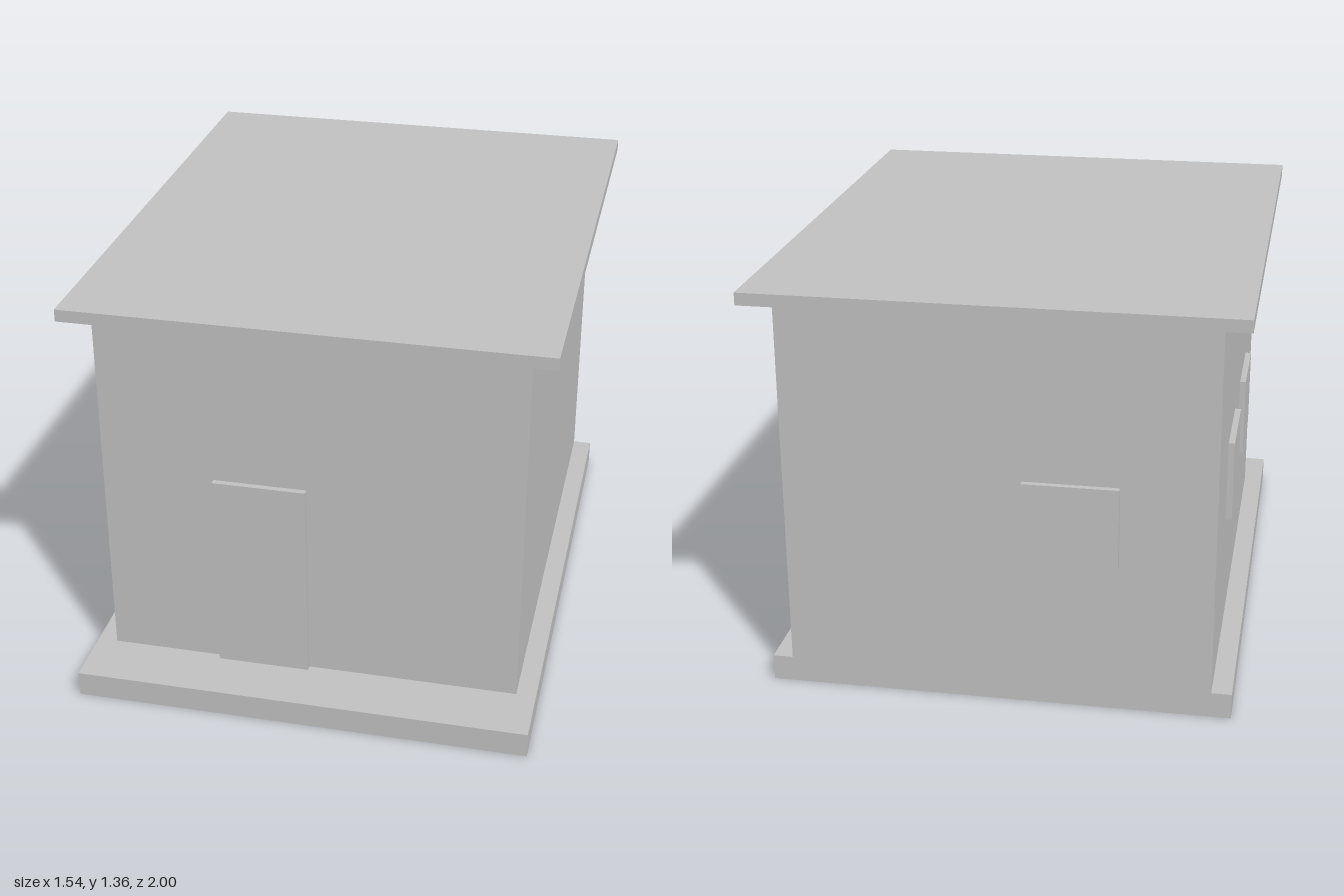
import * as THREE from 'three';

export function createModel() {
  const model = new THREE.Group();
  model.name = 'smallHouse';
  const lightGrey = new THREE.MeshStandardMaterial({ color: 0xc0c0c0 });
  lightGrey.name = 'lightGrey';

  // Adds a box spanning the given [min, max] range on each axis
  function addBox(name, [x0, x1], [y0, y1], [z0, z1]) {
    const mesh = new THREE.Mesh(new THREE.BoxGeometry(x1 - x0, y1 - y0, z1 - z0), lightGrey);
    mesh.name = name;
    mesh.position.set((x0 + x1) / 2, (y0 + y1) / 2, (z0 + z1) / 2);
    model.add(mesh);
  }

  const side = 0.685, front = 0.8, back = -0.91;
  const floor = 0.085, eaves = 1.32;
  const relief = 0.02; // how far the door and windows stand out
  const windowHeight = [0.5, 0.77];

  // Main volumes
  addBox('foundationSlab', [-0.75, 0.75], [0, floor], [back, 1]);
  addBox('walls', [-side, side], [floor, eaves], [back, front]);
  addBox('roofSlab', [-0.77, 0.77], [eaves, 1.36], [-1, 0.88]);

  // Door
  addBox('door', [-0.315, -0.01], [floor, 0.77], [front, front + relief]);

  // Back window and the two windows on the right wall
  addBox('backWindow', [-0.385, -0.08], windowHeight, [back - relief, back]);
  for (const [name, z] of [['rightRearWindow', -0.345], ['rightFrontWindow', 0.225]]) {
    addBox(name, [-side - relief, -side], windowHeight, [z - 0.155, z + 0.155]);
  }

  return model;
}
